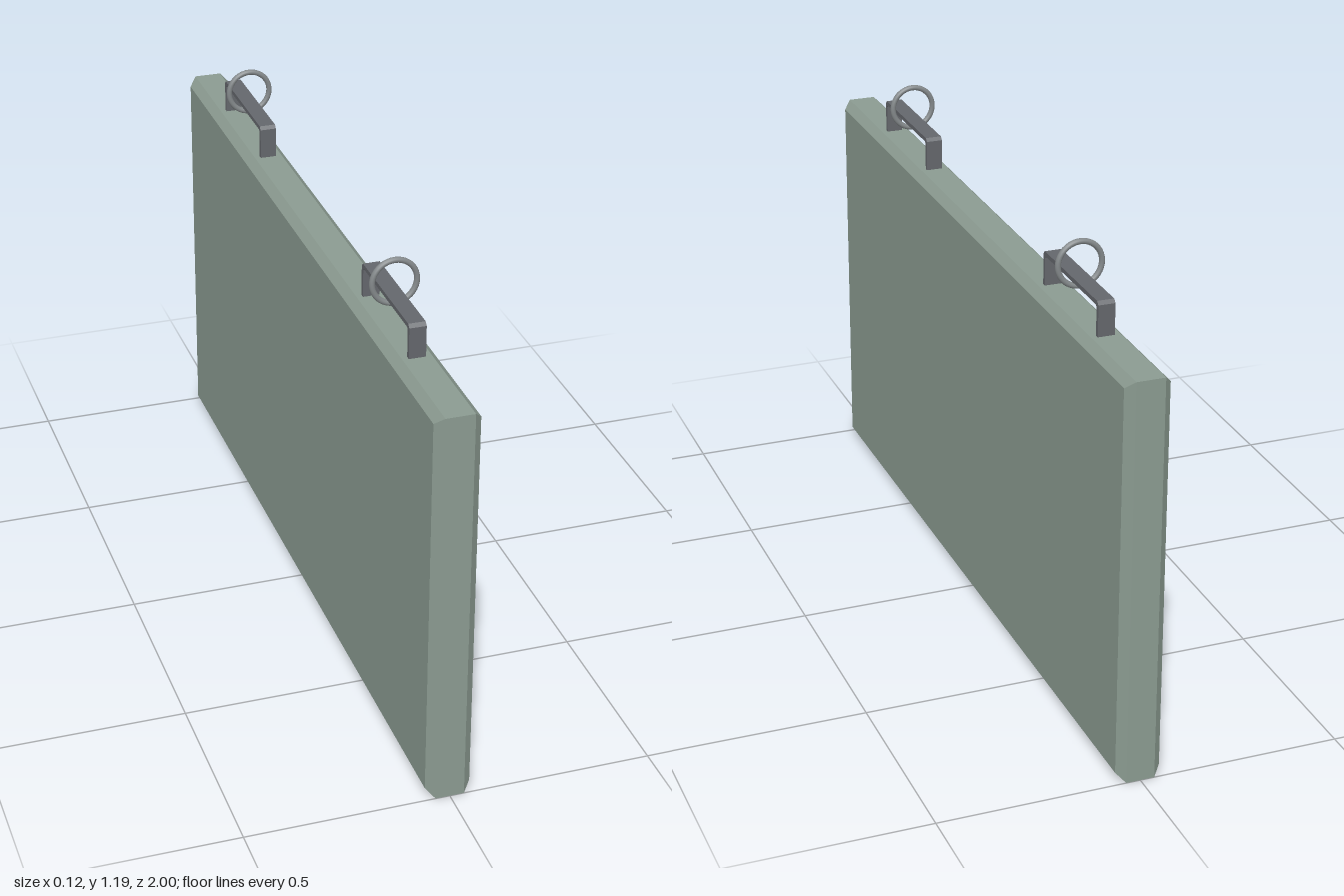
import * as THREE from 'three';

const boardMat = new THREE.MeshStandardMaterial({ color: 0x8b9b91 });
const strapMat = new THREE.MeshStandardMaterial({ color: 0x64676c });
const ringMat = new THREE.MeshStandardMaterial({ color: 0x83888a });

// Extrudes a (z, y) outline along x, centred on x = 0
function extrudeAcross(points, depth, bevel = 0) {
  const shape = new THREE.Shape(points.map(([z, y]) => new THREE.Vector2(z, y)));
  const geo = new THREE.ExtrudeGeometry(shape, {
    depth, bevelEnabled: bevel > 0, bevelThickness: bevel, bevelSize: bevel, bevelSegments: 1,
  });
  geo.translate(0, 0, -depth / 2);
  geo.rotateY(-Math.PI / 2);
  return geo;
}

function addMesh(parent, name, geometry, material) {
  const mesh = new THREE.Mesh(geometry, material);
  mesh.name = name;
  parent.add(mesh);
  return mesh;
}

// Bent flat strap with a loose ring threaded through it
function createHanger(name, z, ringOffset) {
  const hanger = new THREE.Group();
  hanger.name = name;
  const h = 0.165, t = 0.011, c = 0.008, foot = 1.01, top = 1.1;
  const strap = [
    [-h, foot], [-h + t, foot], [-h + t, top - t - c / 2], [-h + t + c / 2, top - t],
    [h - t - c / 2, top - t], [h - t, top - t - c / 2], [h - t, foot], [h, foot],
    [h, top - c], [h - c, top], [-h + c, top], [-h, top - c],
  ];
  addMesh(hanger, 'strap', extrudeAcross(strap, 0.041), strapMat);
  const ring = addMesh(hanger, 'ring', new THREE.TorusGeometry(0.054, 0.007, 12, 40), ringMat);
  ring.position.set(0, 1.129, ringOffset);
  hanger.position.z = z;
  return hanger;
}

export function createModel() {
  const model = new THREE.Group();
  model.name = 'hangingSign';

  // Board with all edges chamfered
  const b = 0.02, z = 1 - b, top = 1.015 - b;
  addMesh(model, 'board', extrudeAcross([[-z, b], [z, b], [z, top], [-z, top]], 0.07, b), boardMat);

  // Two hangers along the top edge
  model.add(createHanger('frontHanger', 0.558, 0.005));
  model.add(createHanger('backHanger', -0.586, -0.006));
  return model;
}
